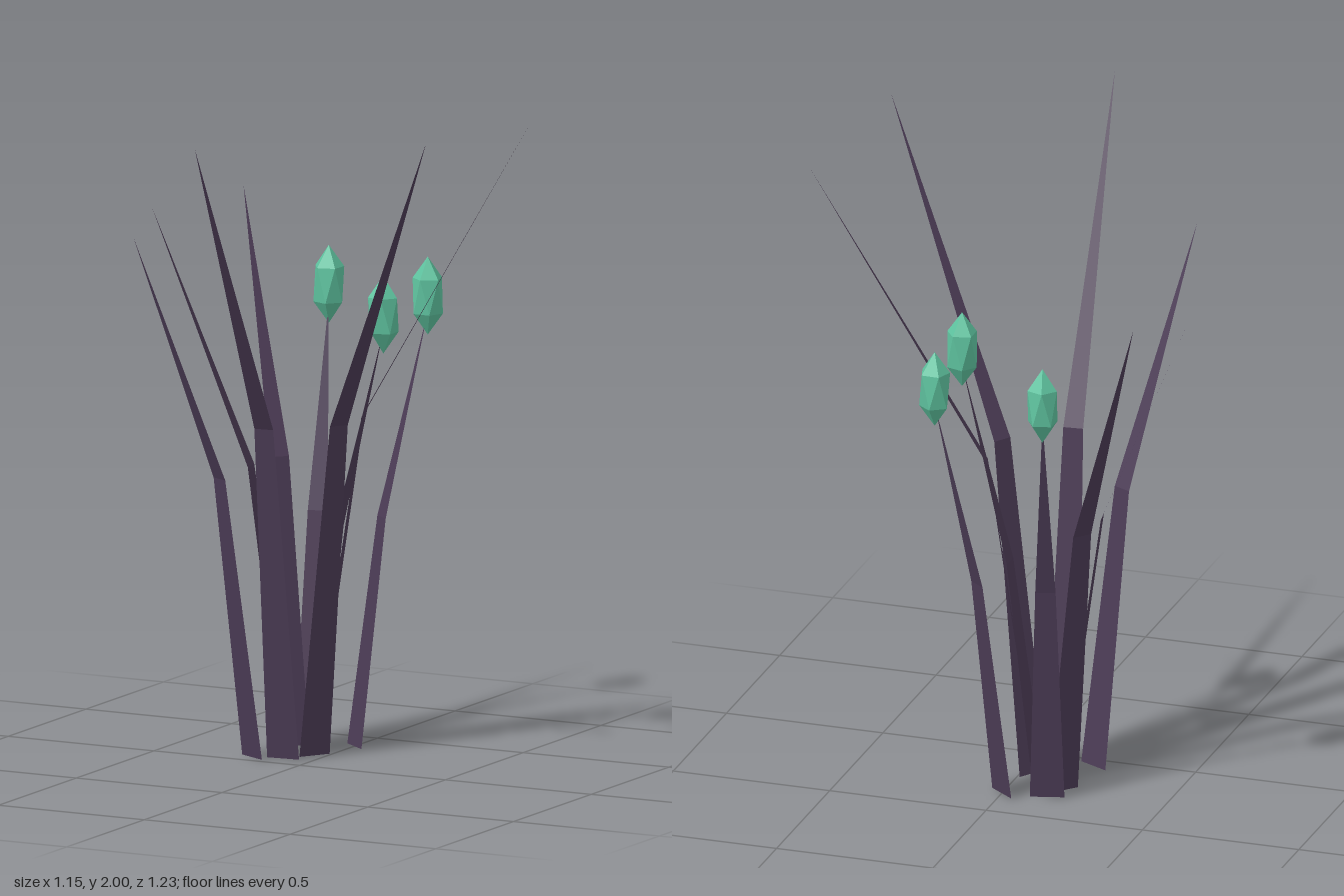
import * as THREE from 'three';

// Blade proportions: kink height, kink reach, tip height, tip reach
const TALL = [1.04, 0.15, 2.0, 0.688];
const SHORT = [0.87, 0.12, 1.65, 0.437];
const STEM = [0.7, 0.09, 1.32, 0.243];
const BASE_HALF = 0.0525, KINK_HALF = 0.031;

// Flat tapering sheet: a quad up to the kink, then a triangle to the tip
function bladeGeometry([kinkY, kinkOut, tipY, tipOut]) {
  const g = new THREE.BufferGeometry();
  g.setAttribute('position', new THREE.Float32BufferAttribute([
    -BASE_HALF, 0, 0, BASE_HALF, 0, 0,
    KINK_HALF, kinkY, kinkOut, -KINK_HALF, kinkY, kinkOut,
    0, tipY, tipOut,
  ], 3));
  g.setIndex([0, 1, 2, 0, 2, 3, 3, 2, 4]);
  const flat = g.toNonIndexed();
  flat.computeVertexNormals();
  return flat;
}

// Stretched icosahedron standing on a vertex
function budGeometry() {
  const r = 0.0525, h = 0.12, pos = [];
  const ring = (k, up) => {
    const a = (k + (up ? 0 : 0.5)) * Math.PI * 2 / 5;
    return [Math.sin(a) * r * 0.894, (up ? 1 : -1) * h * 0.447, Math.cos(a) * r * 0.894];
  };
  for (let k = 0; k < 5; k++) {
    const u0 = ring(k, true), u1 = ring(k + 1, true);
    const l0 = ring(k, false), l1 = ring(k + 1, false);
    pos.push(...[0, h, 0], ...u0, ...u1);
    pos.push(...u0, ...l0, ...u1);
    pos.push(...u1, ...l0, ...l1);
    pos.push(...[0, -h, 0], ...l1, ...l0);
  }
  const g = new THREE.BufferGeometry();
  g.setAttribute('position', new THREE.Float32BufferAttribute(pos, 3));
  g.computeVertexNormals();
  return g;
}

export function createModel() {
  const model = new THREE.Group();
  model.name = 'buddingPlant';

  const leafMat = new THREE.MeshStandardMaterial({ color: 0x4c3c56, flatShading: true, side: THREE.DoubleSide });
  leafMat.name = 'dark purple leaf';
  const budMat = new THREE.MeshStandardMaterial({ color: 0x5fc4a0, flatShading: true });
  budMat.name = 'mint green bud';

  const bud = budGeometry();

  // name, proportions, base x, base z, tip x, tip z
  const parts = [
    ['tallLeaf', TALL, [-0.097, -0.075, -0.035, 0.61]],
    ['tallLeaf', TALL, [-0.037, -0.165, 0.543, 0.205]],
    ['tallLeaf', TALL, [-0.071, -0.225, 0.575, -0.455]],
    ['shortLeaf', SHORT, [-0.19, -0.05, -0.39, 0.337]],
    ['shortLeaf', SHORT, [-0.145, -0.201, -0.577, -0.127]],
    ['shortLeaf', SHORT, [-0.167, -0.27, -0.49, -0.56]],
    ['budStem', STEM, [-0.14, -0.337, -0.205, -0.573]],
    ['budStem', STEM, [0, -0.352, 0.15, -0.544]],
    ['budStem', STEM, [-0.067, -0.208, 0.176, -0.208]],
  ];

  for (const [name, size, [x, z, tipX, tipZ]] of parts) {
    const group = new THREE.Group();
    group.name = name;
    group.position.set(x, 0, z);
    group.rotation.y = Math.atan2(tipX - x, tipZ - z);
    const blade = new THREE.Mesh(bladeGeometry(size), leafMat);
    blade.name = name + 'Blade';
    group.add(blade);
    if (size === STEM) {
      const b = new THREE.Mesh(bud, budMat);
      b.name = 'bud';
      b.position.set(0, 1.37, size[3]);
      group.add(b);
    }
    model.add(group);
  }
  return model;
}
